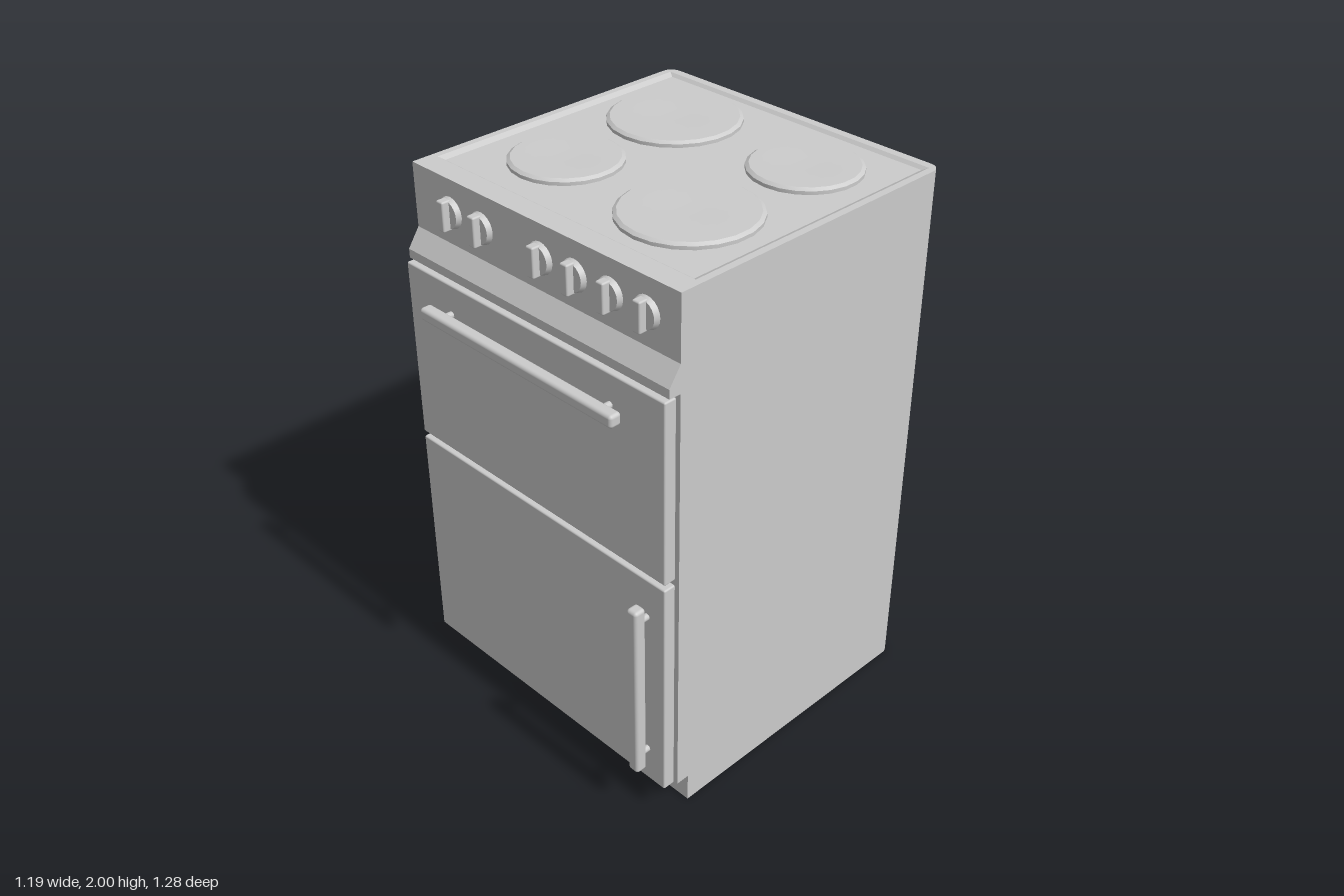
import * as THREE from 'three';
import { RoundedBoxGeometry } from 'three/addons/geometries/RoundedBoxGeometry.js';
import { toCreasedNormals } from 'three/addons/utils/BufferGeometryUtils.js';

const W = 0.597, BACK = -0.64, FRONT = 0.51, TOP = 1.99, FLOOR = 1.98;
const grey = new THREE.MeshStandardMaterial({ color: 0xcccccc });

export function createModel() {
  const model = new THREE.Group();

  function add(name, geometry, x = 0, y = 0, z = 0, parent = model) {
    const mesh = new THREE.Mesh(geometry, grey);
    mesh.name = name;
    mesh.position.set(x, y, z);
    parent.add(mesh);
    return mesh;
  }

  // Plan outline with rounded back corners, raised from y0 to y1
  function slab(front, y0, y1, hole) {
    const r = 0.04, s = new THREE.Shape();
    s.moveTo(-W, -front);
    s.lineTo(W, -front);
    s.lineTo(W, -BACK - r);
    s.absarc(W - r, -BACK - r, r, 0, Math.PI / 2, false);
    s.absarc(-W + r, -BACK - r, r, Math.PI / 2, Math.PI, false);
    s.lineTo(-W, -front);
    if (hole) s.holes.push(new THREE.Path(hole.map(([x, z]) => new THREE.Vector2(x, -z))));
    const g = new THREE.ExtrudeGeometry(s, { depth: y1 - y0, bevelEnabled: false, curveSegments: 4 });
    g.rotateX(-Math.PI / 2);
    g.translate(0, y0, 0);
    return toCreasedNormals(g, 0.6);
  }

  // Cabinet: recessed plinth, main body and raised hob rim
  const rect = (x, z0, z1) => [[-x, z0], [x, z0], [x, z1], [-x, z1]];
  const outer = rect(0.572, -0.61, 0.43), inner = rect(0.552, -0.598, 0.415);
  add('plinth', slab(0.46, 0, 0.11));
  add('cabinet', slab(FRONT, 0.11, FLOOR));
  add('hobRim', slab(FRONT, FLOOR, TOP, outer));

  // Sloping edge from the rim down to the hob floor
  const slope = [];
  for (let i = 0; i < 4; i++) {
    const j = (i + 1) % 4;
    const a = [outer[i][0], TOP, outer[i][1]], b = [outer[j][0], TOP, outer[j][1]];
    const c = [inner[j][0], FLOOR, inner[j][1]], d = [inner[i][0], FLOOR, inner[i][1]];
    slope.push(...a, ...d, ...b, ...b, ...d, ...c);
  }
  const slopeGeometry = new THREE.BufferGeometry();
  slopeGeometry.setAttribute('position', new THREE.Float32BufferAttribute(slope, 3));
  slopeGeometry.computeVertexNormals();
  add('hobSlope', slopeGeometry);

  // Hotplates with a chamfered edge and slightly dished centre
  for (const [x, z, r] of [[-0.27, -0.33, 0.23], [0.292, -0.345, 0.19], [-0.28, 0.145, 0.19], [0.264, 0.142, 0.23]]) {
    const profile = [[r, 0], [r, 0.012], [r - 0.012, 0.02], [0.05, 0.019], [0, 0.017]];
    const g = new THREE.LatheGeometry(profile.map(p => new THREE.Vector2(...p)), 22);
    add('hotplate', toCreasedNormals(g, 0.5), x, FLOOR, z);
  }

  // Sloping lip below the control panel
  const lip = new THREE.Shape([[0.5, 1.765], [FRONT, 1.765], [0.555, 1.7], [0.555, 1.668], [0.5, 1.665]]
    .map(([z, y]) => new THREE.Vector2(-z, y)));
  const lipGeometry = new THREE.ExtrudeGeometry(lip, { depth: 2 * W, bevelEnabled: false });
  lipGeometry.rotateY(Math.PI / 2);
  add('controlPanelLip', lipGeometry, -W);

  // Control knobs: tapered disc with an upright grip
  for (const x of [-0.415, -0.265, 0.01, 0.16, 0.312, 0.462]) {
    const knob = new THREE.Group();
    knob.name = 'knob';
    knob.position.set(x, 1.876, FRONT);
    const disc = new THREE.CylinderGeometry(0.048, 0.054, 0.018, 20);
    disc.rotateX(Math.PI / 2);
    add('knobDisc', disc, 0, 0, 0.009, knob);
    add('knobGrip', new RoundedBoxGeometry(0.032, 0.104, 0.036, 2, 0.006), 0, 0, 0.026, knob);
    model.add(knob);
  }

  // Doors, each with a narrower mounting panel behind
  function door(name, y0, y1) {
    const h = y1 - y0, y = (y0 + y1) / 2;
    add(name, new RoundedBoxGeometry(2 * W - 0.004, h, 0.047, 2, 0.006), 0, y, 0.5465);
    add(name + 'Seal', new THREE.BoxGeometry(2 * W - 0.06, h - 0.04, 0.03), 0, y, 0.52);
  }
  door('grillDoor', 1.0, 1.66);
  door('ovenDoor', 0.125, 0.98);

  // Bar handles on two round posts
  function handle(name, length, postSpan, vertical) {
    const g = new THREE.Group();
    g.name = name;
    add('handleBar', new RoundedBoxGeometry(length, 0.045, 0.045, 3, 0.012), 0, 0, 0.6175, g);
    for (const side of [-1, 1]) {
      const post = new THREE.CylinderGeometry(0.012, 0.012, 0.045, 12);
      post.rotateX(Math.PI / 2);
      add('handlePost', post, side * postSpan / 2, 0, 0.583, g);
    }
    if (vertical) g.rotation.z = Math.PI / 2;
    model.add(g);
    return g;
  }
  handle('grillHandle', 0.895, 0.74, false).position.set(-0.003, 1.552, 0);
  handle('ovenHandle', 0.69, 0.57, true).position.set(0.517, 0.55, 0);

  return model;
}
